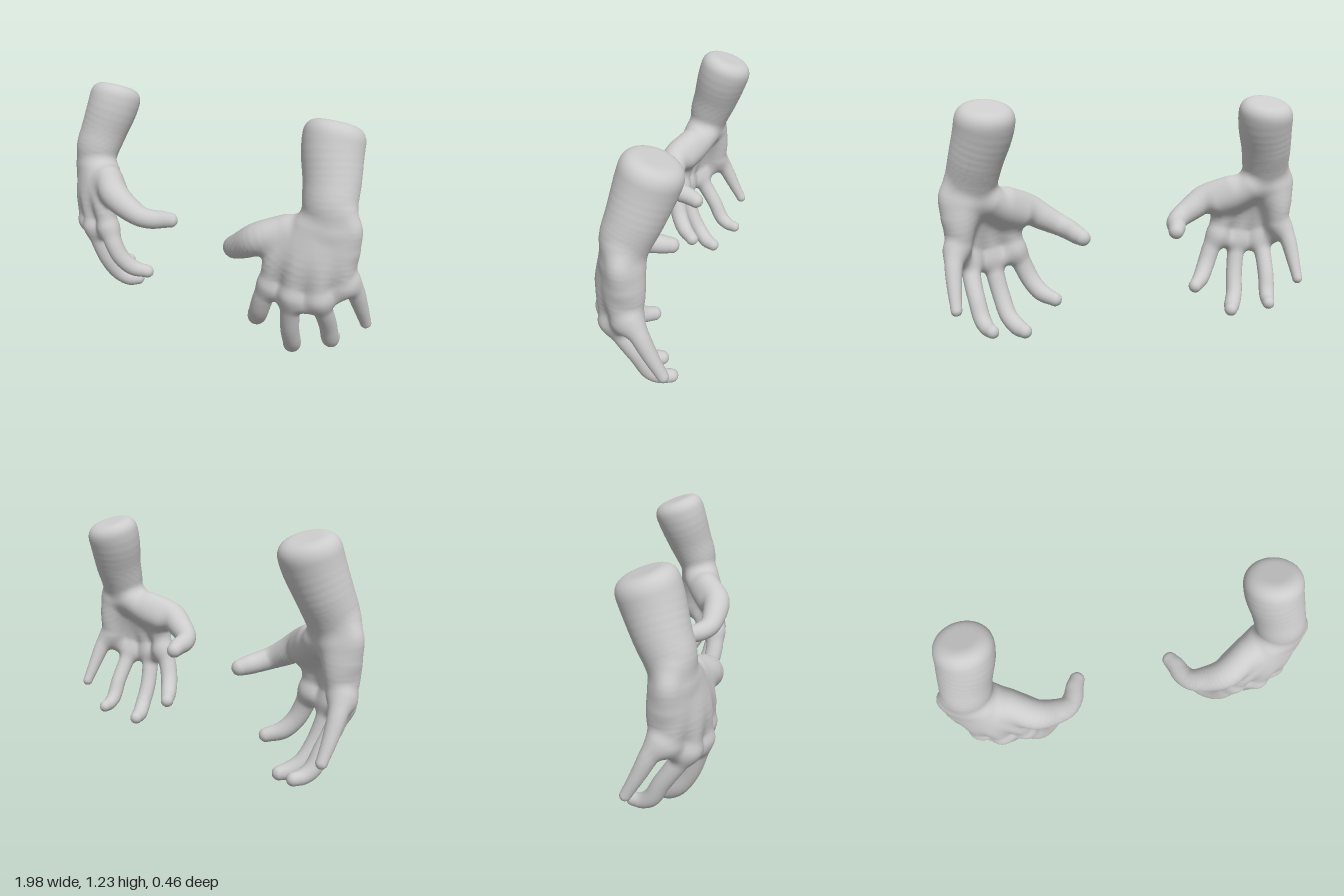
import * as THREE from 'three';

// Each part is one or more chains of [x, y, z, radius], for the model's left hand.
const PARTS = {
  forearm: [
    [[.755, 1.36, -.17, .128], [.755, 1.12, -.09, .132], [.785, .95, -.035, .117], [.795, .85, 0, .106], [.80, .76, .02, .088]],
    [[.765, 1.36, -.17, .128], [.768, 1.12, -.09, .132], [.815, .95, -.035, .117], [.842, .85, .003, .106], [.86, .76, .01, .085]],
  ],
  palm: [
    [[.90, .82, .01, .055], [.933, .755, 0, .056], [.925, .66, -.005, .048]],   // outer wrist bone
    [[.74, .73, .06, .072], [.635, .58, .125, .068], [.595, .44, .138, .054]],  // index knuckle
    [[.78, .73, .06, .072], [.75, .58, .115, .068], [.725, .42, .135, .052]],   // middle knuckle
    [[.83, .73, .04, .072], [.835, .58, .08, .066], [.835, .42, .09, .05]],     // ring knuckle
    [[.88, .71, .01, .07], [.90, .58, .015, .064], [.91, .48, .005, .05]],      // little knuckle
    [[.865, .70, -.015, .07], [.885, .60, -.035, .06], [.89, .51, -.035, .05]], // heel of the hand
    [[.73, .72, .01, .07], [.64, .66, .055, .07], [.57, .63, .09, .068]],       // thumb pad
    [[.60, .41, .125, .038], [.66, .385, .125, .038], [.725, .38, .12, .038], [.78, .367, .105, .038],
      [.835, .385, .07, .038], [.88, .42, .02, .038], [.92, .46, -.02, .038]],  // webs between the fingers
  ],
  thumb: [
    [[.64, .70, .08, .08], [.52, .648, .142, .08], [.43, .595, .137, .07], [.345, .55, .11, .058],
      [.305, .53, .06, .054], [.285, .518, 0, .049], [.264, .507, -.045, .042]],
  ],
  indexFinger: [
    [[.59, .43, .135, .055], [.55, .34, .135, .051], [.513, .26, .115, .049], [.465, .197, .07, .046], [.405, .17, .01, .037]],
  ],
  middleFinger: [
    [[.725, .41, .135, .054], [.705, .32, .118, .048], [.68, .2, .08, .046], [.653, .1, .02, .045],
      [.615, .053, -.035, .044], [.587, .042, -.083, .036]],
  ],
  ringFinger: [
    [[.835, .41, .08, .052], [.835, .32, .025, .046], [.822, .22, -.04, .044], [.804, .13, -.09, .043],
      [.786, .098, -.135, .038], [.768, .092, -.182, .033]],
  ],
  littleFinger: [
    [[.92, .49, -.04, .053], [.935, .42, -.083, .045], [.94, .33, -.13, .037], [.94, .222, -.19, .028]],
  ],
};
const BLEND = 0.035, CHAIN_BLEND = 0.06, CELL = 0.0135, STEPS = 5;
const MIN = [0.18, -0.04, -0.28], COUNT = [63, 97, 42];

const smoothMin = (a, b, k) => {
  const h = Math.max(k - Math.abs(a - b), 0) / k;
  return Math.min(a, b) - h * h * k / 4;
};

// Turns a chain into short tapered capsules along a smooth curve.
function capsules(chain) {
  const path = new THREE.CatmullRomCurve3(chain.map(p => new THREE.Vector3(p[0], p[1], p[2])));
  const girth = new THREE.SplineCurve(chain.map((p, i) => new THREE.Vector2(i, p[3])));
  const steps = (chain.length - 1) * STEPS, out = [];
  const at = i => [...path.getPoint(i / steps).toArray(), girth.getPoint(i / steps).y];
  for (let i = 0; i < steps; i++) {
    const a = at(i), b = at(i + 1), d = b.map((v, k) => v - a[k]);
    out.push({ a, d, len2: d[0] * d[0] + d[1] * d[1] + d[2] * d[2] });
  }
  return out;
}

function chainDistance(segments, x, y, z) {
  let best = Infinity;
  for (const { a, d, len2 } of segments) {
    const px = x - a[0], py = y - a[1], pz = z - a[2];
    const t = Math.min(1, Math.max(0, (px * d[0] + py * d[1] + pz * d[2]) / len2));
    const qx = px - t * d[0], qy = py - t * d[1], qz = pz - t * d[2];
    const dist = Math.sqrt(qx * qx + qy * qy + qz * qz) - a[3] - t * d[3];
    if (dist < best) best = dist;
  }
  return best;
}

const names = Object.keys(PARTS);
const solids = names.map(name => PARTS[name].map(capsules));

function partDistance(i, x, y, z) {
  let d = chainDistance(solids[i][0], x, y, z);
  for (const s of solids[i].slice(1)) d = smoothMin(d, chainDistance(s, x, y, z), CHAIN_BLEND);
  // Slanted, softly rounded cut across the forearm
  if (names[i] === 'forearm') d = -smoothMin(-d, -(0.94 * (y - 1.238) - 0.34 * (z + 0.03)), 0.08);
  return d;
}

function skin(x, y, z) {
  let d = partDistance(0, x, y, z);
  for (let i = 1; i < names.length; i++) d = smoothMin(d, partDistance(i, x, y, z), BLEND);
  return d;
}

function gradient([x, y, z]) {
  const e = 0.006;
  return new THREE.Vector3(
    skin(x + e, y, z) - skin(x - e, y, z),
    skin(x, y + e, z) - skin(x, y - e, z),
    skin(x, y, z + e) - skin(x, y, z - e)).normalize();
}

// Wraps one continuous skin of quads around the blended parts.
function buildSkin() {
  const [nx, ny, nz] = COUNT, stride = [1, nx, nx * ny];
  const field = new Float32Array(nx * ny * nz);
  const each = (start, margin, fn) => {
    for (let k = start; k < nz - margin; k++)
      for (let j = start; j < ny - margin; j++)
        for (let i = start; i < nx - margin; i++) fn([i, j, k], i + j * nx + k * nx * ny);
  };
  each(0, 0, (c, id) => { field[id] = skin(...c.map((v, a) => MIN[a] + v * CELL)); });

  // One vertex in each cell that the surface crosses
  const positions = [], normals = [], owner = [], vertexOf = new Map();
  each(0, 1, (c, id) => {
    const sum = [0, 0, 0];
    let hits = 0;
    for (let axis = 0; axis < 3; axis++) {
      const u = (axis + 1) % 3, v = (axis + 2) % 3;
      for (let q = 0; q < 4; q++) {
        const du = q & 1, dv = q >> 1, base = id + du * stride[u] + dv * stride[v];
        const f0 = field[base], f1 = field[base + stride[axis]];
        if ((f0 < 0) === (f1 < 0)) continue;
        sum[axis] += f0 / (f0 - f1);
        sum[u] += du;
        sum[v] += dv;
        hits++;
      }
    }
    if (!hits) return;
    const p = c.map((n, a) => MIN[a] + (n + sum[a] / hits) * CELL);
    const n = gradient(p), d = skin(...p);
    vertexOf.set(id, owner.length);
    positions.push(p[0] - n.x * d, p[1] - n.y * d, p[2] - n.z * d);
    normals.push(n.x, n.y, n.z);
    const reach = names.map((_, i) => partDistance(i, ...p));
    owner.push(reach.indexOf(Math.min(...reach)));
  });

  // One quad around each grid edge that the surface crosses, sorted by part
  const faces = names.map(() => []);
  each(1, 1, (c, id) => {
    for (let axis = 0; axis < 3; axis++) {
      const inside = field[id] < 0;
      if (inside === field[id + stride[axis]] < 0) continue;
      const u = stride[(axis + 1) % 3], v = stride[(axis + 2) % 3];
      const q = [id - u - v, id - v, id, id - u].map(n => vertexOf.get(n));
      if (!inside) q.reverse();
      faces[owner[q[0]]].push(q[0], q[1], q[2], q[0], q[2], q[3]);
    }
  });
  return { positions, normals, faces };
}

function buildHand({ positions, normals, faces }, side, material) {
  const hand = new THREE.Group();
  hand.name = side > 0 ? 'leftHand' : 'rightHand';
  const mirror = list => new THREE.Float32BufferAttribute(list.map((v, i) => (i % 3 ? v : v * side)), 3);
  names.forEach((name, i) => {
    const geometry = new THREE.BufferGeometry();
    geometry.setAttribute('position', mirror(positions));
    geometry.setAttribute('normal', mirror(normals));
    geometry.setIndex(side > 0 ? faces[i] : [...faces[i]].reverse());
    const mesh = new THREE.Mesh(geometry.toNonIndexed(), material);
    mesh.name = name;
    hand.add(mesh);
  });
  return hand;
}

export function createModel() {
  const model = new THREE.Group();
  model.name = 'pairOfHands';
  const material = new THREE.MeshStandardMaterial({ color: 0xcccccc });
  const surface = buildSkin();
  for (const side of [1, -1]) model.add(buildHand(surface, side, material));
  return model;
}
